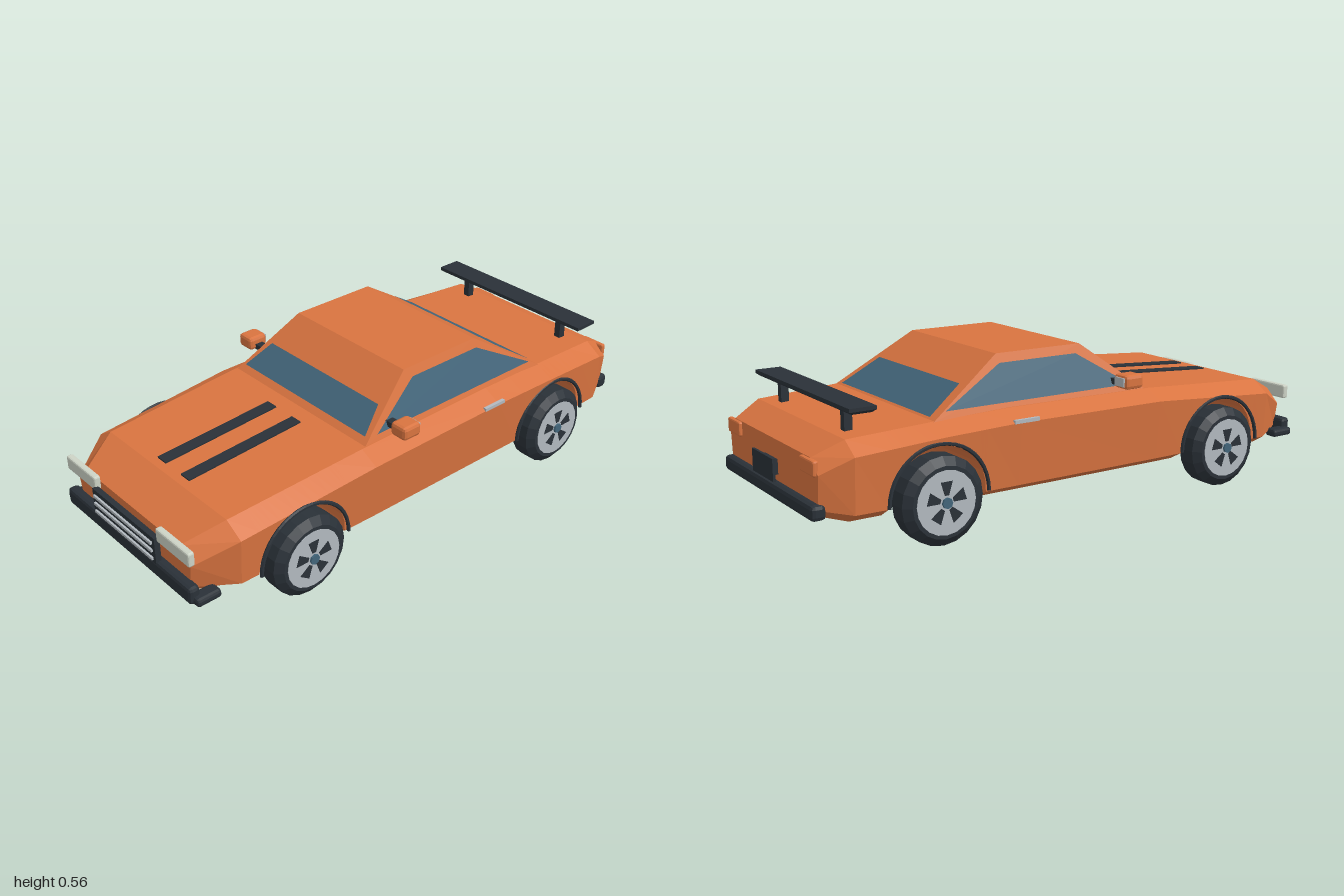
import * as THREE from 'three';
import { RoundedBoxGeometry } from 'three/addons/geometries/RoundedBoxGeometry.js';

const mat = (name, color, extra = {}) => {
  const m = new THREE.MeshStandardMaterial({ color, ...extra });
  m.name = name;
  return m;
};

// Splits shared corners so every facet is flat
const flat = (geo) => {
  const g = geo.index ? geo.toNonIndexed() : geo;
  g.computeVertexNormals();
  return g;
};

// Closed loft through rings of points, each counter-clockwise seen from the last ring's end
function loft(rings) {
  const n = rings[0].length, index = [];
  for (let i = 0; i < rings.length - 1; i++) {
    for (let j = 0; j < n; j++) {
      const k = (j + 1) % n, a = i * n + j, b = i * n + k;
      index.push(a, b, b + n, a, b + n, a + n);
    }
  }
  const last = (rings.length - 1) * n;
  for (let j = 1; j < n - 1; j++) index.push(last, last + j, last + j + 1, 0, j + 1, j);
  const g = new THREE.BufferGeometry();
  g.setAttribute('position', new THREE.Float32BufferAttribute(rings.flat(2), 3));
  g.setIndex(index);
  return flat(g);
}

const AXLES = [0.58, -0.588], HUB_Y = 0.147, ARCH_R = 0.172;

// Body stations: z, then half-width and height of floor, sill, shoulder and deck edges
const STATIONS = [
  [-0.968, 0.30, 0.135, 0.34, 0.16, 0.35, 0.27, 0.30, 0.316],
  [-0.87, 0.345, 0.11, 0.39, 0.14, 0.40, 0.322, 0.335, 0.364],
  [-0.57, 0.345, 0.11, 0.40, 0.14, 0.415, 0.343, 0.345, 0.38],
  [-0.29, 0.345, 0.11, 0.40, 0.14, 0.42, 0.353, 0.35, 0.389],
  [0.29, 0.345, 0.11, 0.40, 0.14, 0.42, 0.348, 0.35, 0.384],
  [0.82, 0.34, 0.11, 0.39, 0.14, 0.40, 0.307, 0.33, 0.35],
  [0.957, 0.28, 0.118, 0.31, 0.15, 0.325, 0.238, 0.27, 0.288],
];

function stationAt(z) {
  let i = 0;
  while (i < STATIONS.length - 2 && z > STATIONS[i + 1][0]) i++;
  const a = STATIONS[i], b = STATIONS[i + 1], t = (z - a[0]) / (b[0] - a[0]);
  return a.map((v, k) => v + (b[k] - v) * t);
}

function bodyGeometry() {
  const zs = STATIONS.map((s) => s[0]);
  for (const c of AXLES) {
    zs.push(c - ARCH_R - 0.001, c + ARCH_R + 0.001);
    for (let i = 0; i <= 16; i++) zs.push(c - ARCH_R * Math.cos((i / 16) * Math.PI));
  }
  zs.sort((a, b) => a - b);
  return loft(zs.map((z) => {
    const s = stationAt(z);
    const half = [1, 3, 5, 7].map((k) => [s[k], s[k + 1]]);
    // Wheel openings lift the underside along a circle
    for (const c of AXLES) {
      const d = Math.abs(z - c);
      if (d > ARCH_R + 1e-6) continue;
      const cut = HUB_Y + Math.sqrt(Math.max(0, ARCH_R ** 2 - d * d));
      const [, lo, hi] = half;
      const x = lo[0] + (hi[0] - lo[0]) * (cut - lo[1]) / (hi[1] - lo[1]);
      half[0] = [x, cut];
      half[1] = [x, cut];
    }
    const right = half.map(([x, y]) => [x, y, z]);
    return [...right, ...right.slice().reverse().map(([x, y]) => [-x, y, z])];
  }));
}

// Four-cornered pane on a face (bottom left, bottom right, top right, top left);
// low and high are [height fraction, left reach, right reach]
function paneGeometry(face, low, high) {
  const [A, B, C, D] = face.map((p) => new THREE.Vector3(...p));
  const normal = B.clone().sub(A).cross(D.clone().sub(A)).normalize();
  const at = (v, s) => A.clone().lerp(D, v).lerp(B.clone().lerp(C, v), (s + 1) / 2)
    .addScaledVector(normal, 0.004).toArray();
  const p = [at(low[0], -low[1]), at(low[0], low[2]), at(high[0], high[2]), at(high[0], -high[1])];
  const g = new THREE.BufferGeometry();
  g.setAttribute('position', new THREE.Float32BufferAttribute(p.flat(), 3));
  g.setIndex([0, 1, 2, 0, 2, 3]);
  return flat(g);
}

export function createModel() {
  const paint = mat('orange paint', 0xd97440);
  const dark = mat('dark trim', 0x2a3138);
  const glass = mat('blue glass', 0x42657a);
  const silver = mat('silver', 0xb2b9bf);
  const lamp = mat('lamp white', 0xcdd3c6);

  const car = new THREE.Group();
  car.name = 'car';
  const add = (name, geo, material, x = 0, y = 0, z = 0, parent = car) => {
    const m = new THREE.Mesh(geo, material);
    m.name = name;
    m.position.set(x, y, z);
    parent.add(m);
    return m;
  };
  const box = (w, h, d) => new THREE.BoxGeometry(w, h, d);
  const soft = (w, h, d, r) => flat(new RoundedBoxGeometry(w, h, d, 1, r));

  // Body and cabin
  add('body', bodyGeometry(), paint);
  const ring = (x, y, front, back) => [[-x, y, front], [x, y, front], [x, y, back], [-x, y, back]];
  const base = ring(0.35, 0.375, 0.285, -0.577), roof = ring(0.277, 0.556, 0.04, -0.296);
  add('cabin', loft([base, roof]), paint);

  // Windows, one on each cabin face
  const panes = [
    ['windshield', [0.14, 0.95, 0.95], [0.52, 0.91, 0.91]],
    ['leftWindow', [0.16, 0.92, 0.98], [0.83, 0.68, 0.76]],
    ['rearWindow', [0.05, 0.9, 0.9], [0.52, 0.88, 0.88]],
    ['rightWindow', [0.16, 0.98, 0.92], [0.83, 0.76, 0.68]],
  ];
  panes.forEach(([name, low, high], i) => {
    const k = (i + 1) % 4;
    add(name, paneGeometry([base[i], base[k], roof[k], roof[i]], low, high), glass);
  });

  // Grille and bumpers
  add('grille', box(0.36, 0.1, 0.02), dark, 0, 0.227, 0.98);
  for (const y of [0.255, 0.226, 0.195]) add('grilleBar', box(0.335, 0.01, 0.008), silver, 0, y, 0.993);
  add('frontBumper', soft(0.72, 0.062, 0.04, 0.012), dark, 0, 0.154, 0.97);
  add('rearBumper', soft(0.71, 0.052, 0.05, 0.014), dark, 0, 0.155, -0.97);
  add('rearPlate', box(0.165, 0.075, 0.009), dark, 0, 0.228, -0.995);
  add('plateMount', box(0.1, 0.05, 0.03), dark, 0, 0.228, -0.977);

  // Rear wing, wider on top
  const wing = (w, y, d) => ring(w, y, -0.819 + d, -0.819 - d);
  add('wing', loft([wing(0.35, 0.44, 0.034), wing(0.36, 0.449, 0.046), wing(0.36, 0.461, 0.046)]), dark);

  // Tyre profile, turned about the axle
  const tyre = flat(new THREE.LatheGeometry([
    [0, -0.053], [0.118, -0.053], [0.145, -0.032], [0.145, 0.032], [0.118, 0.053], [0, 0.053],
  ].map(([r, h]) => new THREE.Vector2(r, h)), 20));
  const rim = flat(new THREE.CylinderGeometry(0.105, 0.105, 0.008, 20));
  const hub = flat(new THREE.CylinderGeometry(0.018, 0.018, 0.012, 8));
  const slotShape = new THREE.Shape([[0.024, -0.007], [0.068, -0.021], [0.068, 0.021], [0.024, 0.007]]
    .map(([x, y]) => new THREE.Vector2(x, y)));
  const slot = new THREE.ExtrudeGeometry(slotShape, { depth: 0.003, bevelEnabled: false }).rotateX(-Math.PI / 2);
  const arch = flat(new THREE.TorusGeometry(0.178, 0.007, 6, 20, Math.PI)).rotateY(Math.PI / 2);

  for (const s of [1, -1]) {
    const side = s > 0 ? 'left' : 'right';
    add(side + 'Headlight', soft(0.178, 0.051, 0.024, 0.006), lamp, s * 0.265, 0.287, 0.969);
    add(side + 'BumperCorner', soft(0.05, 0.03, 0.09, 0.01), dark, s * 0.359, 0.138, 0.934);
    add(side + 'TailLight', soft(0.1, 0.05, 0.02, 0.006), paint, s * 0.292, 0.289, -0.97);
    add(side + 'WingPost', box(0.025, 0.085, 0.028), dark, s * 0.24, 0.4, -0.817);
    add(side + 'DoorHandle', box(0.012, 0.012, 0.095), silver, s * 0.416, 0.357, -0.268);

    // Hood stripe, tilted with the hood
    const stripe = add(side + 'Stripe', box(0.046, 0.006, 0.456), dark, s * 0.066, 0.3685, 0.562);
    stripe.rotation.x = Math.atan2(0.034, 0.53);

    // Door mirror
    add(side + 'MirrorArm', box(0.06, 0.02, 0.03), dark, s * 0.357, 0.424, 0.152);
    add(side + 'Mirror', soft(0.07, 0.049, 0.075, 0.012), paint, s * 0.41, 0.436, 0.153);
    add(side + 'MirrorGlass', box(0.048, 0.03, 0.006), silver, s * 0.41, 0.436, 0.114);

    for (const z of AXLES) {
      const wheel = new THREE.Group();
      wheel.name = side + (z > 0 ? 'Front' : 'Rear') + 'Wheel';
      wheel.position.set(s * 0.394, HUB_Y - 0.001, z);
      wheel.rotation.z = -s * Math.PI / 2;
      car.add(wheel);
      add('tyre', tyre, dark, 0, 0, 0, wheel);
      add('rim', rim, silver, 0, 0.051, 0, wheel);
      add('hub', hub, glass, 0, 0.057, 0, wheel);
      for (let i = 0; i < 5; i++) {
        add('rimSlot', slot, dark, 0, 0.054, 0, wheel).rotation.y = (i / 5) * Math.PI * 2 + (s > 0 ? Math.PI : 0);
      }
      add(side + 'WheelArch', arch, dark, s * 0.411, HUB_Y, z);
    }
  }
  return car;
}
